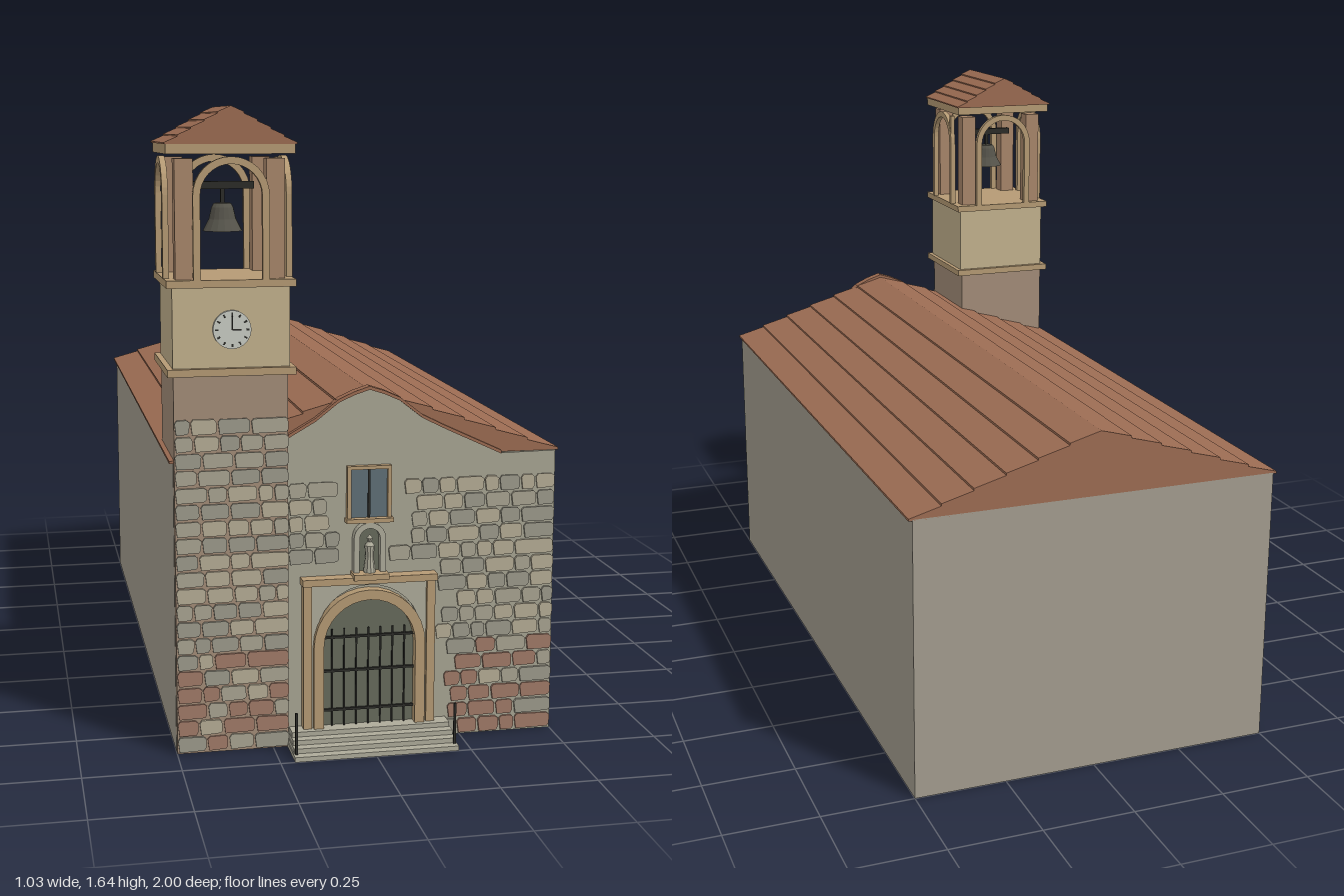
import * as THREE from 'three';
import { mergeGeometries } from 'three/addons/utils/BufferGeometryUtils.js';

const mat = (color) => new THREE.MeshStandardMaterial({ color, flatShading: true });
const M = {
  wall: mat(0xa39c8e), front: mat(0xa8a593), tower: mat(0xa38c78), cream: mat(0xc2b18d),
  trim: mat(0xb59a74), pillar: mat(0xa8866a), roof: mat(0x9b6b52), dark: mat(0x2c2c28),
  bell: mat(0x55534a), door: mat(0x666a5c), glass: mat(0x5f6f76), step: mat(0xaeab9a), clock: mat(0xc9ccc4),
};
const STONES = [mat(0xa9a491), mat(0xb5ac95), mat(0x9d9a8b), mat(0xa07a68)];

export function createModel() {
  const root = new THREE.Group();
  let seed = 7;
  const rnd = () => (seed = (seed * 16807) % 2147483647) / 2147483647;

  const add = (name, geo, material, parent = root) => {
    const m = new THREE.Mesh(geo, material);
    m.name = name;
    parent.add(m);
    return m;
  };
  // Box given by its limits on each axis
  const box = (name, [x0, x1], [y0, y1], [z0, z1], material, parent) => {
    const m = add(name, new THREE.BoxGeometry(x1 - x0, y1 - y0, z1 - z0), material, parent);
    m.position.set((x0 + x1) / 2, (y0 + y1) / 2, (z0 + z1) / 2);
    return m;
  };
  const group = (name, x = 0, y = 0, z = 0) => {
    const g = new THREE.Group();
    g.name = name;
    g.position.set(x, y, z);
    root.add(g);
    return g;
  };
  const shape = (pts) => new THREE.Shape(pts.map(([x, y]) => new THREE.Vector2(x, y)));
  const extrude = (s, z0, z1) =>
    new THREE.ExtrudeGeometry(s, { depth: z1 - z0, bevelEnabled: false, curveSegments: 12 }).translate(0, 0, z0);
  // Outline of an upright opening with a semicircular head, from left foot to right foot
  const archPts = (r, y0, spring) => {
    const pts = [[-r, y0]];
    for (let i = 0; i <= 16; i++) {
      const a = Math.PI * (1 - i / 16);
      pts.push([r * Math.cos(a), spring + r * Math.sin(a)]);
    }
    return [...pts, [r, y0]];
  };
  const archBand = (ro, ri, y0, spring) => shape([...archPts(ro, y0, spring), ...archPts(ri, y0, spring).reverse()]);
  // Gable roof section whose courses overlap with small lips
  const roofShape = (half, eave, ridge, courses, lip) => {
    const right = [];
    for (let i = 0; i < courses; i++) {
      const at = (t) => [half * (1 - t), eave + (ridge - eave) * t];
      const [x0, y0] = at(i / courses), [x1, y1] = at((i + 1) / courses);
      right.push([x0, y0 + lip], [x1, y1]);
    }
    const left = right.slice(0, -1).reverse().map(([x, y]) => [-x, y]);
    return shape([[-half, eave], [half, eave], ...right, ...left]);
  };

  // Nave
  box('naveWalls', [-0.5, 0.5], [0, 0.76], [-1, 0.87], M.wall);
  add('naveRoof', extrude(roofShape(0.51, 0.757, 0.932, 6, 0.006), -1, 0.876), M.roof);

  // Facade with a curved gable and tile coping
  const gable = [[-0.21, 0.815], [-0.14, 0.855], [-0.08, 0.902], [-0.04, 0.92], [0, 0.933], [0.04, 0.92],
    [0.08, 0.902], [0.14, 0.855], [0.2, 0.825], [0.35, 0.755]];
  add('facade', extrude(shape([[-0.21, 0], [0.5, 0], [0.5, 0.757], ...[...gable].reverse()]), 0.865, 0.882), M.front);
  add('gableCoping', extrude(shape([...gable, ...gable.map(([x, y]) => [x, y + 0.009]).reverse()]), 0.862, 0.892), M.roof);
  const gableY = (x) => {
    const i = gable.findIndex((p) => p[0] > x);
    if (i < 1) return 0.755;
    const [a, b] = [gable[i - 1], gable[i]];
    return a[1] + ((b[1] - a[1]) * (x - a[0])) / (b[0] - a[0]);
  };

  // Irregular masonry: jittered stones laid in courses, reddish near the ground
  const masonry = (name, xa, xb, top, z, allowed) => {
    const lists = STONES.map(() => []);
    const rowH = 0.0435;
    for (let y = 0.003; y + rowH <= top; y += rowH) {
      let x = xa;
      while (x < xb - 0.01) {
        let w = 0.04 + rnd() * 0.045;
        if (xb - x - w < 0.03) w = xb - x;
        const j = () => (rnd() - 0.5) * 0.007;
        const [x0, x1, y0, y1] = [x + 0.002, x + w - 0.002, y + 0.002, y + rowH - 0.003];
        const kind = y < 0.24 && rnd() < 0.65 ? 3 : Math.floor(rnd() * 3);
        const depth = 0.004 + rnd() * 0.004;
        if (allowed(x0, x1, y0, y1)) {
          lists[kind].push(extrude(shape([[x0 + 0.004, y0], [x1 - 0.005, y0 + Math.abs(j())], [x1, y0 + 0.009],
            [x1 + j() * 0.4, y1 - 0.006], [x1 - 0.007, y1], [x0 + 0.006, y1 + j() * 0.4], [x0, y1 - 0.008]]), z - 0.003, z + depth));
        }
        x += w;
      }
    }
    lists.forEach((l, i) => l.length && add(name, mergeGeometries(l), STONES[i]));
  };
  const blocked = [[-0.18, 0.18, 0, 0.455], [-0.045, 0.045, 0.44, 0.6], [-0.062, 0.062, 0.585, 0.74]];
  masonry('facadeStones', -0.21, 0.5, 0.72, 0.882, (x0, x1, y0, y1) =>
    y1 < Math.min(gableY(x0), gableY(x1)) - 0.01 &&
    !blocked.some(([a, b, c, d]) => x1 > a && x0 < b && y1 > c && y0 < d));
  masonry('towerStones', -0.5, -0.208, 0.885, 0.889, () => true);

  // Tower shaft, cornices and clock stage
  box('towerShaft', [-0.499, -0.21], [0, 0.98], [0.6, 0.889], M.tower);
  box('clockStage', [-0.5, -0.205], [0.995, 1.205], [0.6, 0.89], M.cream);
  for (const y of [0.98, 1.2]) box('cornice', [-0.515, -0.192], [y, y + 0.019], [0.585, 0.906], M.trim);

  // Clock
  const clock = group('clock', -0.352, 1.095, 0.89);
  add('clockFace', new THREE.CylinderGeometry(0.048, 0.048, 0.012, 32).rotateX(Math.PI / 2), M.clock, clock).position.z = 0.004;
  for (let i = 0; i < 12; i++) {
    const a = (i * Math.PI) / 6;
    const tick = box('hourMark', [-0.002, 0.002], [-0.004, 0.004], [0, 0.002], M.dark, clock);
    tick.position.set(0.039 * Math.sin(a), 0.039 * Math.cos(a), 0.011);
    tick.rotation.z = -a;
  }
  box('minuteHand', [-0.002, 0.002], [0, 0.034], [0.01, 0.013], M.dark, clock);
  box('hourHand', [0, 0.022], [-0.002, 0.002], [0.01, 0.013], M.dark, clock);

  // Open belfry: corner pillars with an arch on each side
  const belfry = group('belfry', -0.353, 0, 0.745);
  for (const sx of [-1, 1]) for (const sz of [-1, 1]) {
    const p = box('pillar', [-0.023, 0.023], [1.215, 1.515], [-0.023, 0.023], M.pillar, belfry);
    p.position.x = sx * 0.114;
    p.position.z = sz * 0.114;
  }
  const bandGeo = extrude(archBand(0.095, 0.077, 1.218, 1.425), 0.148, 0.163);
  for (let i = 0; i < 4; i++) {
    const a = add('belfryArch', bandGeo, M.trim, belfry);
    a.rotation.y = (i * Math.PI) / 2;
    // Slim posts closing the corners of each side
    box('cornerPost', [0.149, 0.162], [1.225, 1.515], [-0.09, -0.075], M.trim, belfry);
  }
  box('bellBeam', [-0.08, 0.08], [1.436, 1.455], [-0.009, 0.009], M.dark, belfry);
  box('bellHanger', [-0.005, 0.005], [1.395, 1.44], [-0.005, 0.005], M.dark, belfry);
  const bell = [[0, 1.402], [0.022, 1.4], [0.028, 1.39], [0.035, 1.36], [0.051, 1.33], [0.045, 1.33], [0.028, 1.362], [0, 1.39]];
  add('bell', new THREE.LatheGeometry(bell.map(([x, y]) => new THREE.Vector2(x, y)).reverse(), 16), M.bell, belfry);
  box('belfryCeiling', [-0.16, 0.16], [1.526, 1.552], [-0.16, 0.16], M.trim, belfry);
  add('belfryRoof', extrude(roofShape(0.164, 1.55, 1.642, 5, 0.004), -0.168, 0.162), M.roof, belfry);

  // Door surround, arch and iron grille
  const portal = shape([[-0.165, 0.045], [-0.14, 0.045], ...archPts(0.14, 0.046, 0.285).slice(1, -1), [0.14, 0.045],
    [0.165, 0.045], [0.165, 0.435], [-0.165, 0.435]]);
  add('doorSurround', extrude(portal, 0.875, 0.898), M.step);
  add('doorArch', extrude(archBand(0.147, 0.121, 0.045, 0.268), 0.875, 0.912), M.trim);
  add('doorLeaf', extrude(shape(archPts(0.13, 0.045, 0.268)), 0.87, 0.886), M.door);
  box('doorCornice', [-0.178, 0.178], [0.432, 0.45], [0.875, 0.918], M.trim);
  for (const s of [-1, 1]) {
    const x = s * 0.163;
    box('doorPilaster', [x - 0.011, x + 0.011], [0.045, 0.432], [0.875, 0.908], M.trim);
  }
  for (let i = -3; i <= 3; i++)
    box('grilleBar', [i * 0.032 - 0.002, i * 0.032 + 0.002], [0.05, 0.31], [0.89, 0.895], M.dark);
  for (const y of [0.09, 0.195, 0.285]) box('grilleRail', [-0.121, 0.121], [y, y + 0.006], [0.889, 0.896], M.dark);

  // Niche with a plain standing figure
  add('nicheFrame', extrude(archBand(0.042, 0.027, 0.455, 0.548), 0.875, 0.905), M.step);
  add('nicheBack', extrude(shape(archPts(0.03, 0.455, 0.548)), 0.875, 0.885), M.door);
  box('nicheShelf', [-0.046, 0.046], [0.445, 0.46], [0.875, 0.93], M.trim);
  const figure = [[0, 0.46], [0.016, 0.46], [0.011, 0.5], [0.013, 0.53], [0.005, 0.54], [0.008, 0.549], [0, 0.56]];
  add('nicheFigure', new THREE.LatheGeometry(figure.map(([x, y]) => new THREE.Vector2(x, y)), 10), M.step).position.z = 0.9;

  // Window
  box('windowGlass', [-0.05, 0.05], [0.6, 0.73], [0.875, 0.888], M.glass);
  for (const x of [-0.053, 0.053]) box('windowJamb', [x - 0.005, x + 0.005], [0.6, 0.735], [0.875, 0.898], M.trim);
  box('windowMullion', [-0.003, 0.003], [0.6, 0.73], [0.875, 0.892], M.dark);
  box('windowLintel', [-0.058, 0.058], [0.728, 0.737], [0.875, 0.898], M.trim);
  box('windowSill', [-0.062, 0.062], [0.59, 0.601], [0.875, 0.908], M.trim);

  // Front steps and small handrail posts
  for (let i = 0; i < 4; i++)
    box('step', [-0.213 + i * 0.002, 0.217 - i * 0.002], [i * 0.0125, (i + 1) * 0.0125], [0.87, 1 - i * 0.025], M.step);
  for (const x of [-0.206, 0.21]) box('railPost', [x - 0.003, x + 0.003], [0.012, 0.122], [0.977, 0.983], M.dark);

  return root;
}
